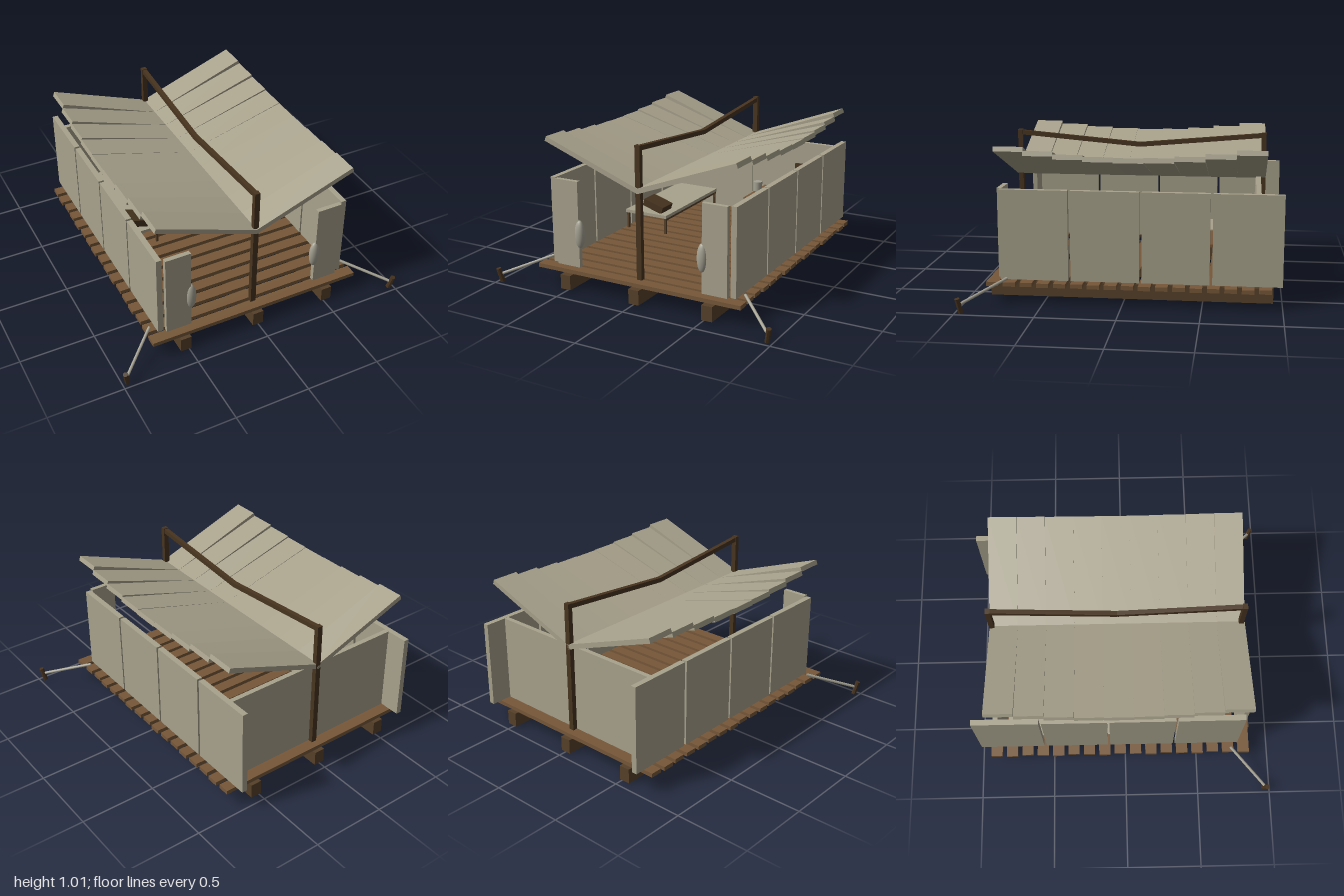
import * as THREE from 'three';

export function createModel() {
  const model = new THREE.Group();
  const mat = (name, color) => {
    const m = new THREE.MeshStandardMaterial({ color, flatShading: name !== 'shieldGrey' });
    m.name = name;
    return m;
  };
  const panelGrey = mat('panelGrey', 0xa8a28c);
  const shieldGrey = mat('shieldGrey', 0xa5a293);
  const deckBrown = mat('deckBrown', 0x775839);
  const beamBrown = mat('beamBrown', 0x574129);
  const postBrown = mat('postBrown', 0x48341f);

  const add = (name, geometry, material) => {
    const mesh = new THREE.Mesh(geometry, material);
    mesh.name = name;
    model.add(mesh);
    return mesh;
  };
  // Box given by its minimum and maximum corners
  const box = (name, material, x0, x1, y0, y1, z0, z1) => {
    const mesh = add(name, new THREE.BoxGeometry(x1 - x0, y1 - y0, z1 - z0), material);
    mesh.position.set((x0 + x1) / 2, (y0 + y1) / 2, (z0 + z1) / 2);
    return mesh;
  };
  // Turn a mesh's y axis onto the line from a to b
  const along = (mesh, a, b) => {
    mesh.position.copy(a).add(b).multiplyScalar(0.5);
    mesh.quaternion.setFromUnitVectors(new THREE.Vector3(0, 1, 0), b.clone().sub(a).normalize());
    return mesh;
  };
  const V = (x, y, z) => new THREE.Vector3(x, y, z);

  // Floor beams and planks
  for (const x of [-0.52, 0, 0.52]) box('floorBeam', beamBrown, x - 0.037, x + 0.037, 0.01, 0.108, -0.944, 0.872);
  for (let i = 0; i < 17; i++) {
    const z = 0.82 - i * 0.107;
    const half = 0.741 - (i % 3) * 0.004;
    const lift = i === 0 || i === 16 ? 0.002 : 0;
    box('floorPlank', deckBrown, -half, half, 0.12 + lift, 0.147 + lift, z - 0.039, z + 0.039);
  }

  // Side walls, front panels with oval shields, back wall, guy ropes and stakes
  const wallSpans = [[0.345, 0.78], [-0.104, 0.33], [-0.545, -0.119], [-0.998, -0.562]];
  for (const s of [-1, 1]) {
    const mirrored = (name, m, a, b, ...rest) => box(name, m, Math.min(s * a, s * b), Math.max(s * a, s * b), ...rest);
    for (const [z0, z1] of wallSpans) mirrored('sideWall', panelGrey, 0.635, 0.672, 0.15, 0.73, z0, z1);
    mirrored('frontPanel', panelGrey, 0.45, 0.622, 0.15, 0.73, 0.772, 0.803);
    mirrored('backWall', panelGrey, 0.002, 0.634, 0.15, 0.73, -0.854, -0.822);

    const shield = add('shield', new THREE.SphereGeometry(1, 24, 16), shieldGrey);
    shield.scale.set(0.035, 0.095, 0.028);
    shield.position.set(s * 0.448, 0.377, 0.794);

    const a = V(s * 0.71, 0.167, 0.73), b = V(s * 0.975, 0.065, 0.972);
    along(add('guyRope', new THREE.CylinderGeometry(0.01, 0.01, a.distanceTo(b), 8), shieldGrey), a, b);
    const foot = V(s * 0.965, 0.014, 0.961), head = V(s * 0.982, 0.106, 0.978);
    along(add('stake', new THREE.CylinderGeometry(0.017, 0.017, foot.distanceTo(head), 8), postBrown), foot, head);

    // Roof wing: nine slats, fanned higher toward both ends
    for (let i = 0; i < 9; i++) {
      const k = (i - 4) / 4;
      const angle = Math.atan2(0.197 + 0.064 * k * k, 0.705);
      const length = 0.733, thick = 0.032;
      const geometry = new THREE.BoxGeometry(length, thick, 0.188);
      geometry.translate(length / 2, thick / 2, 0);
      const pivot = new THREE.Matrix4().makeRotationZ(angle);
      geometry.applyMatrix4(pivot);
      if (s < 0) geometry.rotateY(Math.PI);
      add('roofSlat', geometry, panelGrey).position.set(0, 0.717, -0.04 + k * 0.752);
    }
  }

  // End posts and the sagging ridge pole
  const midZ = -0.04;
  for (const z of [0.782, -0.87]) {
    box('endPost', postBrown, -0.018, 0.018, 0.147, 1.022, z - 0.016, z + 0.016);
    const a = V(0, 1.004, z), b = V(0, 0.931, midZ);
    along(add('ridgePole', new THREE.BoxGeometry(0.03, a.distanceTo(b), 0.03), postBrown), a, b);
  }

  // Bed on the left-hand side of the room
  box('bedTop', panelGrey, -0.63, -0.292, 0.262, 0.284, -0.8, -0.03);
  box('bedRail', beamBrown, -0.31, -0.296, 0.245, 0.262, -0.8, -0.03);
  for (const x of [-0.62, -0.31]) for (const z of [-0.79, -0.048]) {
    box('bedLeg', beamBrown, x, x + 0.015, 0.147, 0.262, z, z + 0.016);
  }
  const roll = box('bedRoll', postBrown, -0.5, -0.34, 0.302, 0.352, -0.2, -0.06);
  roll.rotation.z = -0.3;

  // Desk with cup, papers and an upright board
  box('deskTop', deckBrown, 0.112, 0.5, 0.35, 0.37, -0.81, -0.45);
  for (const x of [0.133, 0.475]) for (const z of [-0.8, -0.475]) {
    box('deskLeg', beamBrown, x, x + 0.015, 0.147, 0.35, z, z + 0.015);
  }
  add('cup', new THREE.CylinderGeometry(0.032, 0.03, 0.07, 16), shieldGrey).position.set(0.13, 0.405, -0.65);
  box('papers', shieldGrey, 0.165, 0.305, 0.37, 0.38, -0.74, -0.56);
  for (const x of [0.365, 0.392, 0.42]) box('smallBlock', shieldGrey, x, x + 0.02, 0.37, 0.408, -0.79, -0.75);
  box('board', postBrown, 0.36, 0.46, 0.408, 0.572, -0.815, -0.795);

  return model;
}
